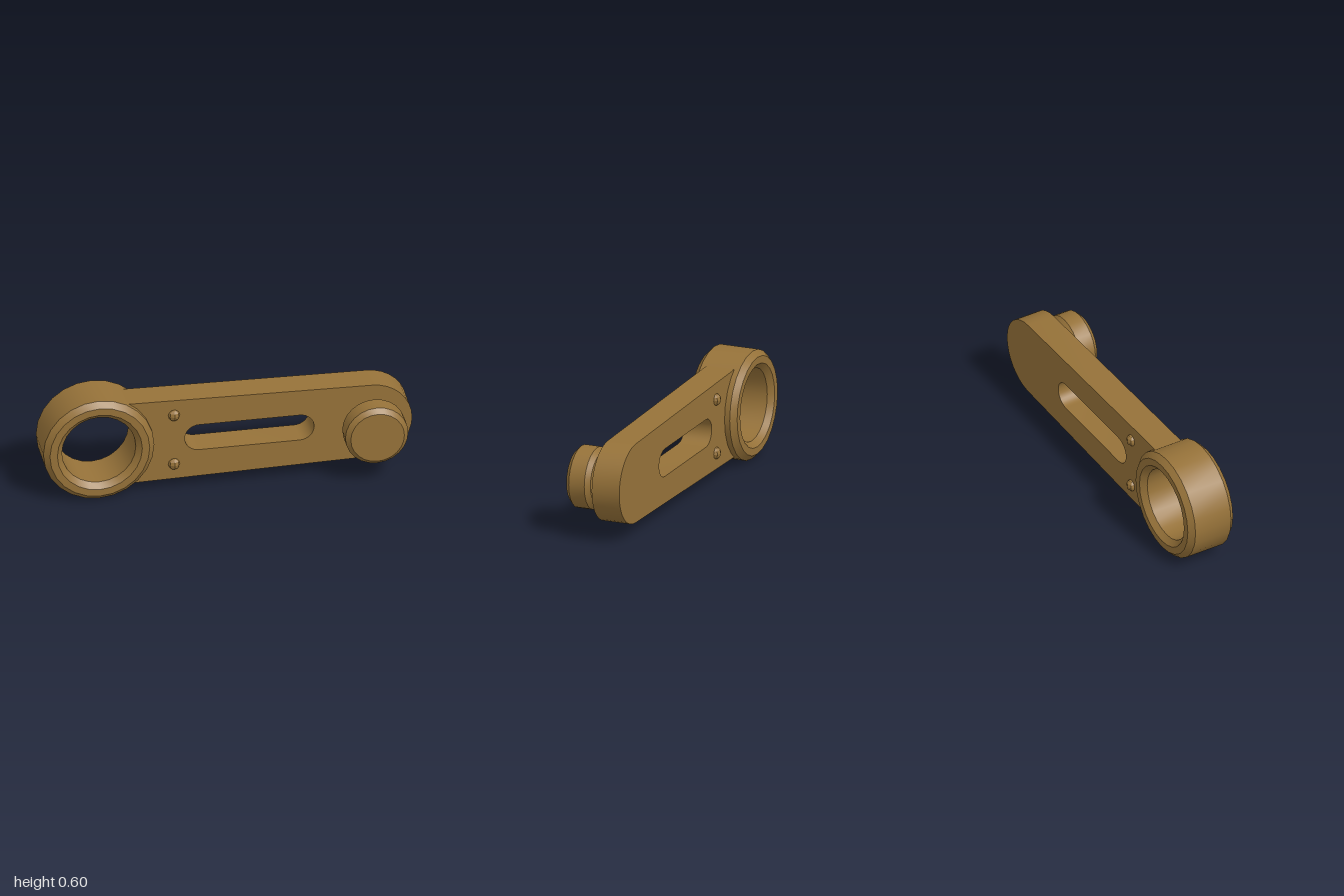
import * as THREE from 'three';
import { toCreasedNormals } from 'three/addons/utils/BufferGeometryUtils.js';

const CREASE = 0.5;
const RING_X = -0.7, PIN_X = 0.78, MID_Y = 0.3;

export function createModel() {
  const group = new THREE.Group();
  const bronze = new THREE.MeshStandardMaterial({ color: 0x967239 });
  bronze.name = 'bronze';

  const add = (name, geometry, x = 0, y = 0, z = 0) => {
    const mesh = new THREE.Mesh(geometry, bronze);
    mesh.name = name;
    mesh.position.set(x, y, z);
    group.add(mesh);
    return mesh;
  };

  // Turned part: [radius, z] profile spun around the z axis
  const turned = (profile, segments) => {
    const points = profile.map(([r, z]) => new THREE.Vector2(r, z));
    const geometry = new THREE.LatheGeometry(points, segments).rotateX(Math.PI / 2);
    return toCreasedNormals(geometry, CREASE);
  };

  // Bearing ring, chamfered on its inner and outer rims
  add('bearingRing', turned([
    [0.2, -0.17], [0.23, -0.2], [0.27, -0.2], [0.3, -0.17],
    [0.3, 0.05], [0.27, 0.08], [0.23, 0.08], [0.2, 0.05], [0.2, -0.17],
  ], 24), RING_X, MID_Y);

  // Tapered arm: hollowed end buried in the ring wall, round end, long slot
  const reach = 0.28, half = 0.246;
  const a = Math.asin(half / reach);
  const rootX = RING_X + reach * Math.cos(a);
  const outline = new THREE.Shape();
  outline.moveTo(rootX, MID_Y - half);
  outline.lineTo(PIN_X, MID_Y - 0.22);
  outline.absarc(PIN_X, MID_Y, 0.22, -Math.PI / 2, Math.PI / 2, false);
  outline.lineTo(rootX, MID_Y + half);
  outline.absarc(RING_X, MID_Y, reach, a, -a, true);

  const slot = new THREE.Path();
  slot.absarc(0.393, MID_Y, 0.077, -Math.PI / 2, Math.PI / 2, false);
  slot.absarc(-0.153, MID_Y, 0.077, Math.PI / 2, Math.PI * 1.5, false);
  slot.closePath();
  outline.holes.push(slot);

  const arm = new THREE.ExtrudeGeometry(outline, {
    depth: 0.16, bevelEnabled: false, curveSegments: 8,
  });
  add('arm', toCreasedNormals(arm, CREASE), 0, 0, -0.14);

  // Pin neck and chamfered knob
  add('pinNeck', turned([[0, 0], [0.1, 0], [0.1, 0.07]], 24), PIN_X, MID_Y);
  add('knob', turned([
    [0, 0.06], [0.145, 0.06], [0.17, 0.085],
    [0.17, 0.175], [0.145, 0.2], [0, 0.2],
  ], 24), PIN_X, MID_Y);

  // Faceted rivets on both faces of the arm
  const rivet = new THREE.SphereGeometry(0.034, 8, 6).toNonIndexed();
  rivet.computeVertexNormals();
  for (const [side, z] of [['front', 0.014], ['back', -0.134]]) {
    for (const dy of [-0.15, 0.15]) {
      add(`${side}Rivet`, rivet, -0.288, MID_Y + dy, z);
    }
  }

  return group;
}
